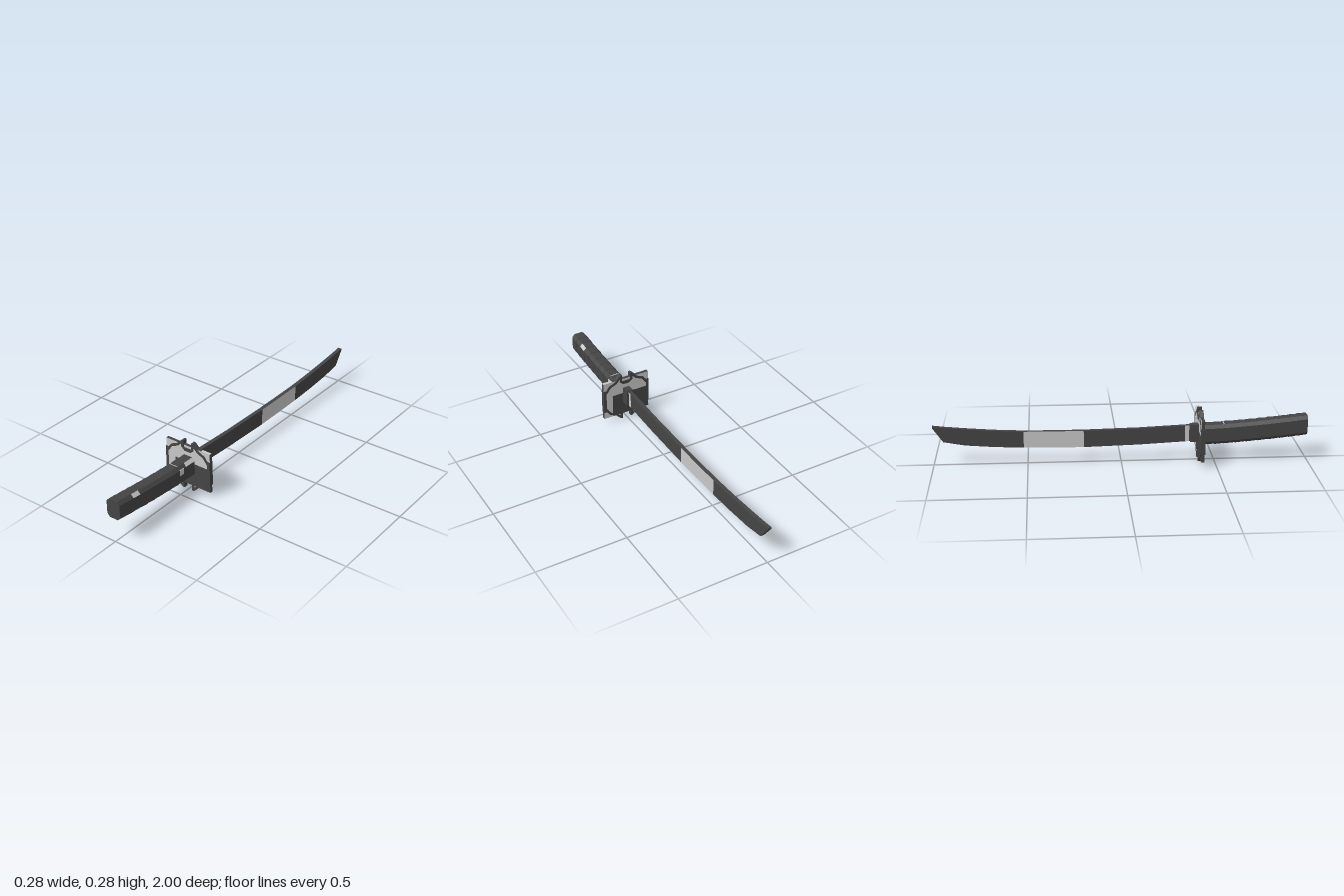
import * as THREE from 'three';

const dark = new THREE.MeshStandardMaterial({ color: 0x444444 });
dark.name = 'darkGrey';
const light = new THREE.MeshStandardMaterial({ color: 0xc8c8c8 });
light.name = 'lightGrey';

// Skin a list of rings (counterclockwise from the front, z decreasing).
// isLight(i, j) picks the colour of side j in band i.
function loft(name, rings, isLight) {
  const faces = [[], []];
  const n = rings[0].length;
  const tri = (k, ...pts) => pts.forEach((p) => faces[k].push(...p));
  for (let i = 0; i < rings.length - 1; i++) {
    const a = rings[i], b = rings[i + 1];
    for (let j = 0; j < n; j++) {
      const m = (j + 1) % n, k = isLight(i, j) ? 1 : 0;
      tri(k, a[j], b[j], b[m]);
      tri(k, a[j], b[m], a[m]);
    }
  }
  const first = rings[0], last = rings[rings.length - 1];
  for (let j = 1; j < n - 1; j++) {
    tri(0, first[0], first[j], first[j + 1]);
    tri(0, last[0], last[j + 1], last[j]);
  }
  const geo = new THREE.BufferGeometry();
  geo.setAttribute('position', new THREE.Float32BufferAttribute([...faces[0], ...faces[1]], 3));
  geo.addGroup(0, faces[0].length / 3, 0);
  geo.addGroup(faces[0].length / 3, faces[1].length / 3, 1);
  geo.computeVertexNormals();
  const mesh = new THREE.Mesh(geo, [dark, light]);
  mesh.name = name;
  return mesh;
}

// Box given by its limits on each axis
function box(name, mat, [x0, x1], [y0, y1], [z0, z1]) {
  const mesh = new THREE.Mesh(new THREE.BoxGeometry(x1 - x0, y1 - y0, z1 - z0), mat);
  mesh.position.set((x0 + x1) / 2, (y0 + y1) / 2, (z0 + z1) / 2);
  mesh.name = name;
  return mesh;
}

// Curved blade: z, bottom edge, top edge
function makeBlade() {
  const w = 0.011;
  const sections = [
    [0.41, 0.109, 0.198], [0.365, 0.107, 0.196], [0.343, 0.106, 0.195], [0.1, 0.094, 0.184],
    [-0.2, 0.086, 0.178], [-0.36, 0.087, 0.178], [-0.52, 0.09, 0.18], [-0.68, 0.098, 0.188],
    [-0.83, 0.11, 0.2], [-0.945, 0.131, 0.211], [-1, 0.21, 0.218],
  ];
  const rings = sections.map(([z, b, t]) => [[w, b, z], [w, t, z], [-w, t, z], [-w, b, z]]);
  const pale = [1, 4, 5];
  return loft('blade', rings, (i, j) => pale.includes(i) && j % 2 === 0);
}

// Wrapped octagonal grip, each band slightly flared
function makeGrip() {
  const cuts = [1, 0.95, 0.9, 0.85, 0.79, 0.73, 0.67, 0.61, 0.55, 0.5, 0.43];
  const octagon = [
    [0.042, -0.037], [0.042, 0.037], [0.026, 0.055], [-0.026, 0.055],
    [-0.042, 0.037], [-0.042, -0.037], [-0.026, -0.055], [0.026, -0.055],
  ];
  const ring = (z, s) => {
    const cy = 0.146 + 0.044 * Math.pow(Math.max(0, (z - 0.43) / 0.57), 1.5);
    return octagon.map(([x, y]) => [x * s, cy + y * s, z]);
  };
  const rings = [];
  for (let i = 0; i < cuts.length - 1; i++) {
    rings.push(ring(cuts[i], 0.965), ring(cuts[i + 1], 1));
  }
  // upper chamfer is side 1, lower chamfer is side 7; bands sit at even indices
  const pale = ['4,1', '18,1', '0,7', '4,7'];
  return loft('grip', rings, (i, j) => pale.includes(i + ',' + j));
}

// Guard rim: one quarter outline mirrored into a closed loop
function makeRim() {
  const midY = 0.1425;
  const close = (quarter) => {
    const top = quarter.map(([x, y]) => new THREE.Vector2(x, y));
    const flipY = top.map((p) => new THREE.Vector2(p.x, 2 * midY - p.y)).reverse();
    const right = [...top, ...flipY];
    const left = right.map((p) => new THREE.Vector2(-p.x, p.y)).reverse();
    return [...right, ...left];
  };
  const shape = new THREE.Shape(close([
    [0.02, 0.245], [0.025, 0.25], [0.025, 0.285], [0.036, 0.285],
    [0.072, 0.25], [0.108, 0.235], [0.124, 0.212], [0.142, 0.212],
  ]));
  shape.holes.push(new THREE.Path(close([
    [0.018, 0.226], [0.03, 0.235], [0.04, 0.245], [0.04, 0.262],
    [0.062, 0.24], [0.098, 0.225], [0.125, 0.19],
  ])));
  const mesh = new THREE.Mesh(
    new THREE.ExtrudeGeometry(shape, { depth: 0.024, bevelEnabled: false }), dark);
  mesh.position.z = 0.412;
  mesh.name = 'guardRim';
  return mesh;
}

// Two-tone guard plate, its back layer mirrored from the front
function makePlate() {
  const plate = new THREE.Group();
  plate.name = 'guardPlate';
  for (const [s, z] of [[1, [0.424, 0.432]], [-1, [0.416, 0.424]]]) {
    const span = (a, b) => (s > 0 ? [a, b] : [-b, -a]);
    plate.add(
      box('plateTop', light, [-0.14, 0.14], [0.165, 0.259], z),
      box('plateSide', light, span(-0.14, -0.085), [0.03, 0.165], z),
      box('plateCorner', dark, span(-0.085, 0.14), [0.03, 0.165], z),
    );
  }
  // dark edge strips
  plate.add(box('topEdge', dark, [-0.14, 0.085], [0.259, 0.26], [0.416, 0.432]));
  for (const s of [-1, 1]) {
    const x = s * 0.1403;
    plate.add(box('sideEdge', dark, [x - 0.0005, x + 0.0005], [0.03, 0.259], [0.416, 0.432]));
  }
  return plate;
}

export function createModel() {
  const sword = new THREE.Group();
  sword.name = 'sword';
  sword.add(
    makeBlade(),
    makeGrip(),
    makeRim(),
    makePlate(),
    box('collar', dark, [-0.02, 0.02], [0.104, 0.2], [0.37, 0.42]),
    box('gripPatch', light, [0.039, 0.043], [0.155, 0.188], [0.52, 0.55]),
    box('gripLine', light, [-0.026, 0.026], [0.203, 0.206], [0.548, 0.552]),
  );
  return sword;
}
